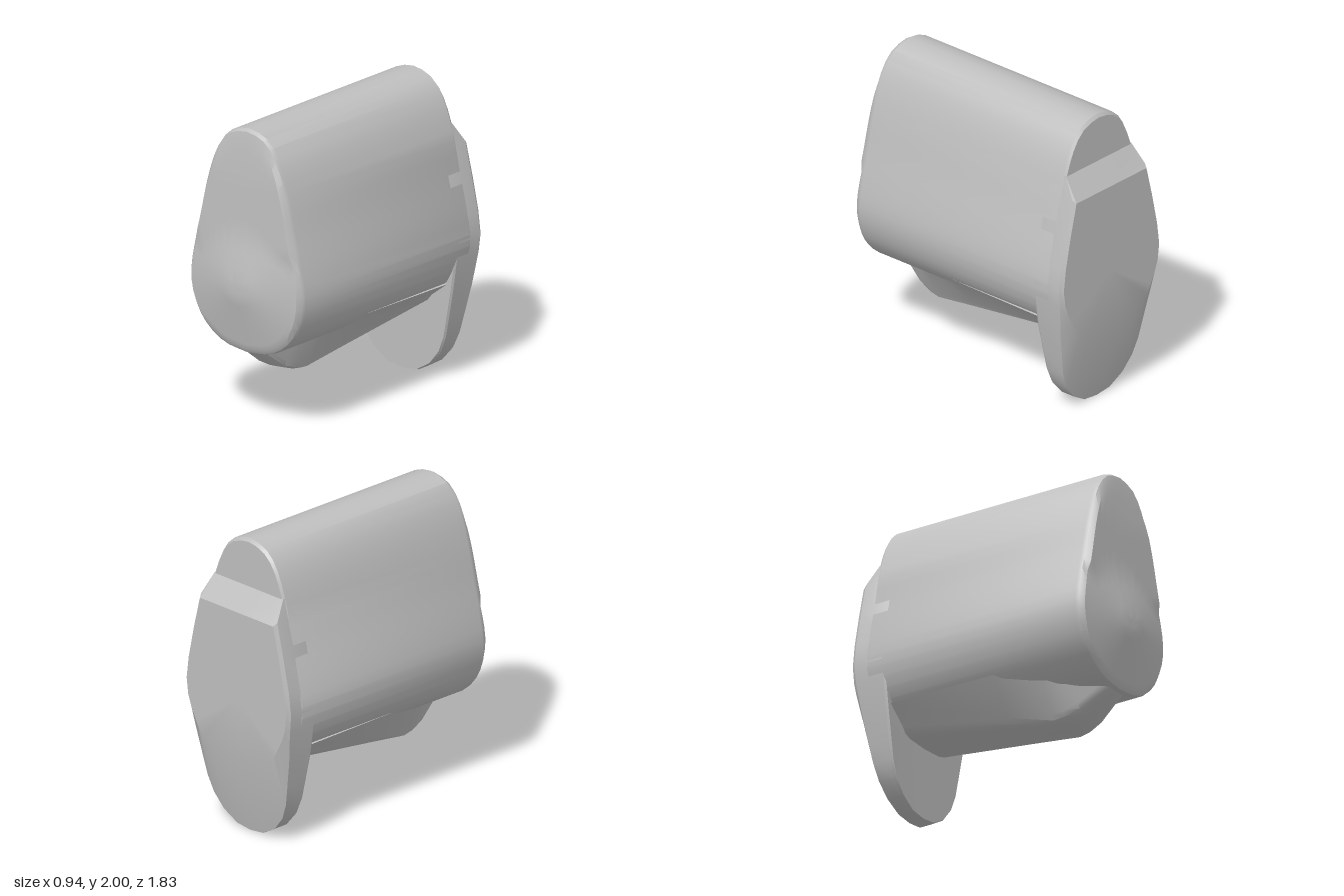
import * as THREE from 'three';
import { toCreasedNormals } from 'three/addons/utils/BufferGeometryUtils.js';

// Half outline (top to bottom, x >= 0) -> closed counter-clockwise ring
function mirrorRing(half) {
  const left = half.map(([x, y]) => [-x, y]);
  const right = half.filter(([x]) => x > 1e-4).reverse();
  return [...left, ...right];
}

// Skin through rings ordered front (+z) to back, closed at both ends
function loft(rings, crease) {
  const n = rings[0].length, pos = rings.flat(2), index = [];
  for (let i = 0; i < rings.length - 1; i++) {
    for (let j = 0; j < n; j++) {
      const k = (j + 1) % n;
      const a = i * n + j, b = i * n + k, c = a + n, d = b + n;
      index.push(a, c, b, b, c, d);
    }
  }
  const cap = (ring, base, front) => {
    const centre = [0, 1, 2].map(k => ring.reduce((s, p) => s + p[k], 0) / n);
    const c = pos.length / 3;
    pos.push(...centre);
    for (let j = 0; j < n; j++) {
      const a = base + j, b = base + (j + 1) % n;
      index.push(c, front ? a : b, front ? b : a);
    }
  };
  cap(rings[0], 0, true);
  cap(rings[rings.length - 1], (rings.length - 1) * n, false);
  const g = new THREE.BufferGeometry();
  g.setAttribute('position', new THREE.Float32BufferAttribute(pos, 3));
  g.setIndex(index);
  return toCreasedNormals(g, crease);
}

const lerp = THREE.MathUtils.lerp;
const MID = 0.95; // height of the widest point and of the front bulge

// Front surface: nearly flat upper panel with a shallow cone below
function frontZ(x, y) {
  const panel = y > 1.67 ? lerp(0.855, 0.828, (y - 1.67) / 0.33)
    : y > 1.2 ? lerp(0.865, 0.855, (y - 1.2) / 0.47) : 0.825;
  const dy = y - MID;
  const r = Math.hypot(x * 0.9, dy * (dy > 0 ? 1.0 : 1.12));
  return Math.max(panel, 0.92 - 0.2 * Math.max(0, r - 0.07));
}

export function createModel() {
  const group = new THREE.Group();
  const grey = new THREE.MeshStandardMaterial({ color: 0xbfbfbf });
  grey.name = 'plain grey';
  const add = (name, geometry) => {
    const mesh = new THREE.Mesh(geometry, grey);
    mesh.name = name;
    group.add(mesh);
  };

  // Egg-shaped body
  const profile = new THREE.SplineCurve([
    [0, 2], [0.12, 1.975], [0.21, 1.9], [0.28, 1.77], [0.34, 1.58], [0.39, 1.36],
    [0.44, 1.15], [0.47, 0.97], [0.455, 0.83], [0.4, 0.7], [0.31, 0.6], [0.18, 0.53], [0, 0.505],
  ].map(p => new THREE.Vector2(...p)));
  const egg = mirrorRing(profile.getSpacedPoints(26).map((p, i) => [i % 26 ? p.x : 0, p.y]));
  const scaled = (s, z) => egg.map(([x, y]) => {
    const px = x * s, py = MID + (y - MID) * s;
    return [px, py, typeof z === 'function' ? z(px, py) : z];
  });
  const face = [0.05, 0.15, 0.25, 0.35, 0.45, 0.55, 0.65, 0.75, 0.85, 0.93].map(s => scaled(s, frontZ));
  add('body', loft([
    ...face, scaled(0.985, 0.825), scaled(1, 0.8),
    scaled(1, -0.785), scaled(0.98, -0.803),
  ], 0.5));

  // Tapered keel under the body: z, bottom height, bottom and top half widths
  const keel = [
    [0.8, 0.51, 0.1, 0.14], [0.6, 0.365, 0.14, 0.22], [0.5, 0.33, 0.16, 0.28],
    [0.42, 0.32, 0.17, 0.32], [0.1, 0.37, 0.19, 0.37], [-0.7, 0.495, 0.25, 0.39],
  ].map(([z, b, wb, wt]) => mirrorRing([
    [0, 0.68], [wt, 0.66], [wb, b + 0.06], [wb * 0.88, b + 0.025], [wb * 0.65, b + 0.008], [0, b],
  ]).map(([x, y]) => [x, y, z]));
  add('keel', loft(keel, 0.6));

  // Back plate with a sloped top edge and a thinner rounded foot
  const plate = mirrorRing([
    [0, 1.68], [0.31, 1.68], [0.345, 1.55], [0.4, 1.32], [0.45, 1.1], [0.47, 0.95], [0.455, 0.82],
    [0.425, 0.62], [0.385, 0.43], [0.355, 0.29], [0.31, 0.18], [0.23, 0.085], [0.12, 0.02], [0, 0.005],
  ]);
  const rimZ = y => y > 1.55 ? lerp(-0.885, -0.8, (y - 1.55) / 0.13)
    : y > 0.85 ? -0.885 : lerp(-0.785, -0.885, y / 0.85);
  const backRing = plate.map(([x, y]) =>
    [x * 0.96, y < 0.85 ? 0.85 - (0.85 - y) * 0.38 : Math.min(y, 1.53), -0.91]);
  add('backPlate', loft([
    plate.map(([x, y]) => [x * 0.98, y + 0.005, lerp(-0.68, -0.66, Math.min(1, y / 0.65))]),
    plate.map(([x, y]) => [x, y, lerp(-0.695, -0.675, Math.min(1, y / 0.65))]),
    plate.map(([x, y]) => [x, y, rimZ(y)]),
    backRing,
  ], 0.45));

  return group;
}
